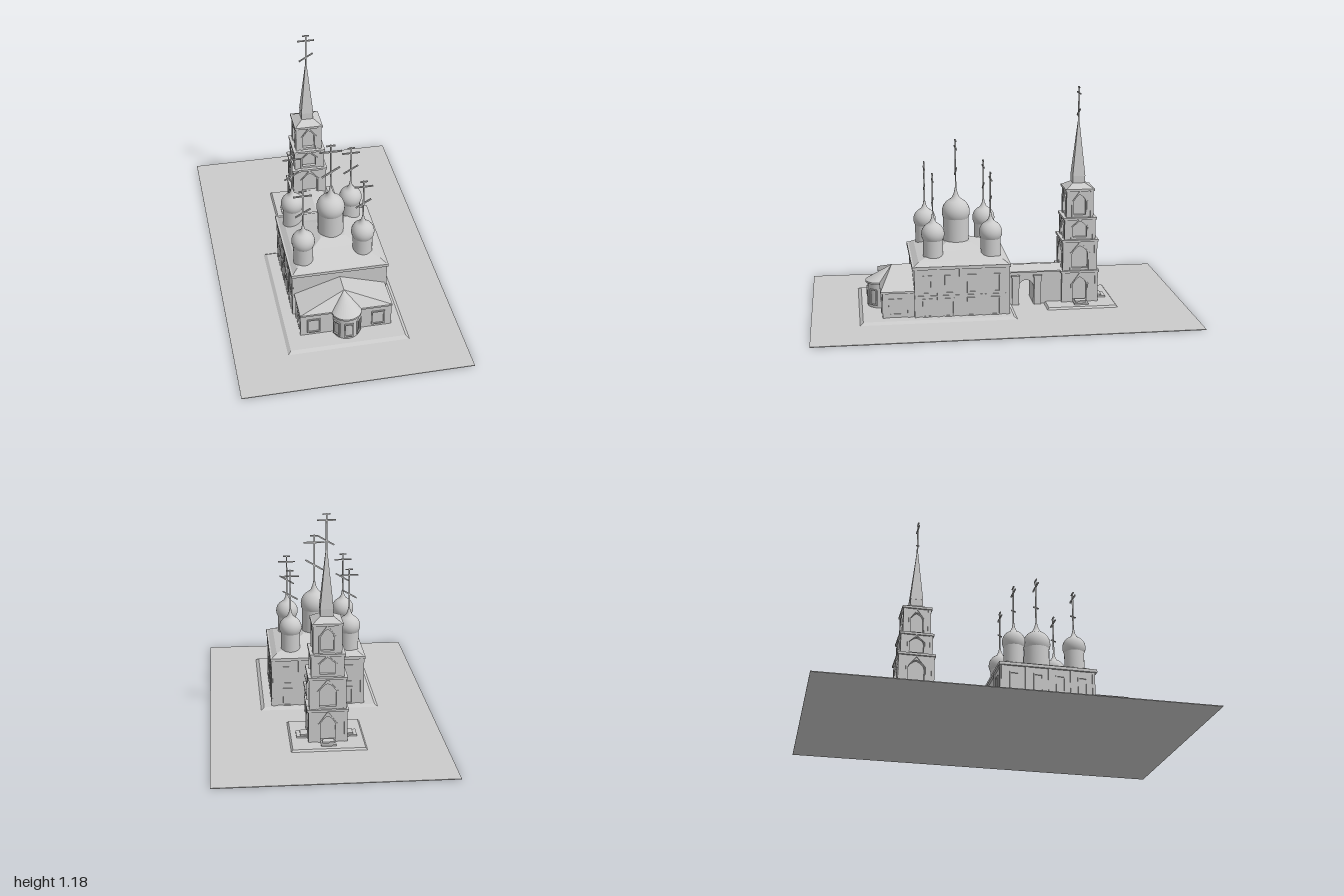
import * as THREE from 'three';

const mat = new THREE.MeshStandardMaterial({ color: 0xcccccc, flatShading: true, side: THREE.DoubleSide });
const smooth = new THREE.MeshStandardMaterial({ color: 0xcccccc, side: THREE.DoubleSide });

function add(parent, name, geo, x = 0, y = 0, z = 0, m = mat) {
  const mesh = new THREE.Mesh(geo, m);
  mesh.name = name;
  mesh.position.set(x, y, z);
  parent.add(mesh);
  return mesh;
}
function group(parent, name, x = 0, y = 0, z = 0) {
  const g = new THREE.Group();
  g.name = name;
  g.position.set(x, y, z);
  parent.add(g);
  return g;
}
// box given by its width, depth and lower / upper height
function block(parent, name, w, d, y0, y1, x = 0, z = 0) {
  return add(parent, name, new THREE.BoxGeometry(w, y1 - y0, d), x, (y0 + y1) / 2, z);
}
// box whose top has its own half sizes
function frustum(parent, name, hx0, hz0, hx1, hz1, y0, y1, x = 0, z = 0) {
  const geo = new THREE.BoxGeometry(2, 1, 2);
  const p = geo.attributes.position;
  for (let i = 0; i < p.count; i++) {
    const top = p.getY(i) > 0;
    p.setXYZ(i, p.getX(i) * (top ? hx1 : hx0), top ? y1 : y0, p.getZ(i) * (top ? hz1 : hz0));
  }
  geo.computeVertexNormals();
  return add(parent, name, geo, x, 0, z);
}
// group whose +z side is the wall plane at distance d, turned by angle a
function wallSide(parent, name, a, d) {
  const turn = group(parent, name);
  turn.rotation.y = a;
  return group(turn, name + 'Plane', 0, 0, d);
}
function rectPath(C, w, h) {
  const s = new C();
  s.moveTo(-w / 2, 0); s.lineTo(w / 2, 0); s.lineTo(w / 2, h); s.lineTo(-w / 2, h); s.closePath();
  return s;
}
// raised window frame with sill on a wall plane
function windowFrame(parent, x, y0, w, h) {
  const s = rectPath(THREE.Shape, w, h), t = 0.007;
  const hole = new THREE.Path();
  hole.moveTo(-w / 2 + t, t); hole.lineTo(w / 2 - t, t); hole.lineTo(w / 2 - t, h - t); hole.lineTo(-w / 2 + t, h - t); hole.closePath();
  s.holes.push(hole);
  add(parent, 'windowFrame', new THREE.ExtrudeGeometry(s, { depth: 0.007, bevelEnabled: false }), x, y0, -0.001);
}

// cross with a straight bar, a short top bar and a slanted bar; h is its height
function cross(parent, y, h) {
  const g = group(parent, 'cross', 0, y, 0), t = 0.007;
  block(g, 'post', t, t, 0, h);
  block(g, 'topBar', 0.18 * h, t, 0.965 * h, 0.99 * h);
  block(g, 'mainBar', 0.44 * h, t, 0.82 * h, 0.85 * h);
  const s = add(g, 'slantedBar', new THREE.BoxGeometry(0.42 * h, 0.03 * h, t), 0, 0.35 * h, 0);
  s.rotation.z = 0.53;
}

// drum, onion dome and cross
function cupola(parent, x, z, base, centre, drumR, r, tip, top) {
  const g = group(parent, 'cupola', x, 0, z);
  add(g, 'drum', new THREE.CylinderGeometry(drumR, drumR, centre - base, 24), 0, (base + centre) / 2, 0, smooth);
  const pts = [];
  for (let i = 0; i <= 12; i++) {
    const a = -1.0 + i * (1.0 + 1.1) / 12;
    pts.push(new THREE.Vector2(r * Math.cos(a), centre + r * Math.sin(a)));
  }
  pts.push(new THREE.Vector2(r * 0.27, centre + r * 1.06), new THREE.Vector2(r * 0.14, centre + r * 1.35), new THREE.Vector2(0.003, tip));
  add(g, 'onionDome', new THREE.LatheGeometry(pts, 28), 0, 0, 0, smooth);
  cross(g, tip - 0.01, top - tip + 0.01);
}

function buildHall(root) {
  const hall = group(root, 'hall', 0.007, 0, 0.217), H = 0.247;
  block(hall, 'walls', 2 * H, 2 * H, 0, 0.275);
  block(hall, 'eaves', 0.516, 0.516, 0.273, 0.289);
  // concave hipped roof as stacked steps: half size, height
  const steps = [[0.25, 0.288], [0.222, 0.307], [0.125, 0.337], [0.065, 0.364]];
  for (let i = 0; i < 3; i++) {
    const [a, y0] = steps[i], [b, y1] = steps[i + 1];
    frustum(hall, 'roof', a, a, b, b, y0, y1);
  }
  // windows and pilasters on both long sides
  for (const s of [-1, 1]) {
    const side = wallSide(hall, 'longWall', s * Math.PI / 2, H);
    for (const z of [0.18, 0.064, -0.053, -0.178]) {
      windowFrame(side, -s * z, 0.14, 0.05, 0.1);
      windowFrame(side, -s * z, 0.015, 0.05, 0.1);
    }
    for (const z of [0.239, 0.122, 0.006, -0.115, -0.239]) block(side, 'pilaster', 0.014, 0.012, 0, 0.275, -s * z, 0);
    block(side, 'stringCourse', 0.49, 0.008, 0.124, 0.131);
  }
  const back = wallSide(hall, 'backWall', Math.PI, H);
  for (const x of [-0.165, 0.165]) {
    windowFrame(back, x, 0.14, 0.05, 0.1);
    windowFrame(back, x, 0.015, 0.05, 0.1);
  }
  for (const x of [-0.239, -0.1, 0.1, 0.239]) block(back, 'pilaster', 0.014, 0.012, 0, 0.275, x, 0);

  for (const [x, z] of [[-0.17, 0.053], [0.15, 0.053], [-0.17, 0.378], [0.15, 0.357]])
    cupola(root, x, z, 0.3, 0.437, 0.052, 0.061, 0.55, 0.758);
  cupola(root, 0.006, 0.222, 0.34, 0.517, 0.068, 0.075, 0.655, 0.907);
}

function buildApse(root) {
  const g = group(root, 'altarWing', 0.007, 0, 0.63), W = 0.235, R = 0.07;
  block(g, 'wingWalls', 2 * W, 0.18, 0, 0.15, 0, -0.09);
  add(g, 'apseWall', new THREE.CylinderGeometry(R, R, 0.15, 24), 0, 0.075, 0, smooth);
  // eave outline in x, z with a round bay in front
  const E = W + 0.008, outline = [[-E, -0.17], [-E, 0.01]];
  for (let i = 0; i <= 16; i++) {
    const a = Math.PI * (1 - i / 16);
    outline.push([0.077 * Math.cos(a), 0.01 + 0.072 * Math.sin(a)]);
  }
  outline.push([E, 0.01], [E, -0.17]);
  const slab = new THREE.ExtrudeGeometry(new THREE.Shape(outline.map(p => new THREE.Vector2(...p))), { depth: 0.01, bevelEnabled: false });
  slab.rotateX(Math.PI / 2);
  add(g, 'eaves', slab, 0, 0.157, 0);
  // roof fan from the ridge end to the eaves
  const pos = [], y = 0.157, apex = [0, 0.237, -0.06], ridge = [0, 0.237, -0.17];
  for (let i = 0; i < outline.length - 1; i++) {
    const [a, b] = [outline[i], outline[i + 1]];
    pos.push(a[0], y, a[1], b[0], y, b[1], ...apex);
  }
  pos.push(...ridge, -E, y, -0.17, ...apex, E, y, -0.17, ...ridge, ...apex);
  const roof = new THREE.BufferGeometry();
  roof.setAttribute('position', new THREE.Float32BufferAttribute(pos, 3));
  roof.computeVertexNormals();
  add(g, 'roof', roof);
  // windows
  for (const x of [-0.17, 0.17]) windowFrame(g, x, 0.03, 0.07, 0.088);
  for (const a of [-0.95, 0, 0.95]) windowFrame(wallSide(g, 'apseWindow', a, R), 0, 0.03, 0.046, 0.088);
  for (const s of [-1, 1]) {
    const side = wallSide(g, 'wingSide', s * Math.PI / 2, W);
    windowFrame(side, s * 0.067, 0.03, 0.07, 0.088);
    block(side, 'pilaster', 0.014, 0.012, 0, 0.15, s * 0.007, 0);
    block(side, 'pilaster', 0.014, 0.012, 0, 0.15, s * 0.137, 0);
  }
}

// covered passage with a gateway through it
function buildGallery(root) {
  const g = group(root, 'gallery');
  const wall = new THREE.Shape();
  wall.moveTo(0.02, 0); wall.lineTo(0.11, 0); wall.lineTo(0.11, 0.1);
  wall.absarc(0.15, 0.1, 0.04, Math.PI, 0, true);
  wall.lineTo(0.19, 0); wall.lineTo(0.35, 0); wall.lineTo(0.35, 0.185); wall.lineTo(0.02, 0.185);
  wall.closePath();
  const geo = new THREE.ExtrudeGeometry(wall, { depth: 0.144, bevelEnabled: false, curveSegments: 14 });
  geo.rotateY(Math.PI / 2);
  add(g, 'gatewayWall', geo, -0.072, 0, 0);
  const gable = new THREE.Shape([[-0.08, 0.183], [0.08, 0.183], [0.08, 0.19], [0, 0.209], [-0.08, 0.19]].map(p => new THREE.Vector2(...p)));
  add(g, 'roof', new THREE.ExtrudeGeometry(gable, { depth: 0.32, bevelEnabled: false }), 0, 0, -0.35);
  for (const z of [-0.092, -0.212]) {
    block(g, 'pier', 0.17, 0.038, 0, 0.16, 0, z);
    block(g, 'pierCap', 0.182, 0.046, 0.158, 0.168, 0, z);
  }
}

// pointed opening outline
function pointed(C, w, h, rise) {
  const s = new C();
  s.moveTo(-w / 2, 0); s.lineTo(w / 2, 0); s.lineTo(w / 2, h - rise);
  s.quadraticCurveTo(w / 2, h - rise * 0.4, 0, h);
  s.quadraticCurveTo(-w / 2, h - rise * 0.4, -w / 2, h - rise); s.closePath();
  return s;
}

function buildTower(root) {
  const t = group(root, 'bellTower', 0, 0, -0.44);
  frustum(t, 'plinth', 0.195, 0.195, 0.183, 0.183, 0, 0.014);
  // half size, bottom, top, opening width
  const tiers = [[0.095, 0.012, 0.19, 0.075], [0.09, 0.19, 0.36, 0.085], [0.08, 0.36, 0.48, 0.075], [0.069, 0.48, 0.635, 0.065]];
  for (const [h, y0, y1, w] of tiers) {
    const tier = group(t, 'tier', 0, y0, 0), H = y1 - y0, d = 0.018;
    block(tier, 'core', 2 * (h - d), 2 * (h - d), 0, H);
    for (let i = 0; i < 4; i++) {
      const side = wallSide(tier, 'tierSide', i * Math.PI / 2, h);
      // wall slab with a pointed niche
      const wall = rectPath(THREE.Shape, 2 * h, H);
      const hole = pointed(THREE.Path, w, H * 0.72, H * 0.28);
      hole.curves.forEach(c => ['v0', 'v1', 'v2'].forEach(k => { if (c[k] && !c[k].lifted) { c[k].y += 0.012; c[k].lifted = true; } }));
      wall.holes.push(hole);
      add(side, 'nicheWall', new THREE.ExtrudeGeometry(wall, { depth: d, bevelEnabled: false, curveSegments: 6 }), 0, 0, -d);
      // steep gable moulding over the niche
      for (const s of [-1, 1]) {
        const dx = w / 2 + 0.006, dy = H * 0.34;
        const bar = add(side, 'gableBar', new THREE.BoxGeometry(Math.hypot(dx, dy), 0.006, 0.012), s * dx / 2, H * 0.74, 0);
        bar.rotation.z = -s * Math.atan2(dy, dx);
      }
      block(side, 'cornerPost', 0.016, 0.016, 0, H, h - 0.004, -0.004);
      block(side, 'sideShaft', 0.008, 0.012, 0, H * 0.58, w / 2 + 0.008, 0);
      block(side, 'sideShaft', 0.008, 0.012, 0, H * 0.58, -w / 2 - 0.008, 0);
    }
    block(tier, 'cornice', 2 * h + 0.02, 2 * h + 0.02, H - 0.012, H);
  }
  // entrance steps on the three free sides
  for (const a of [-1, 1, 2]) {
    const side = wallSide(t, 'steps', a * Math.PI / 2, 0.095);
    block(side, 'lowerStep', 0.076, 0.06, 0.01, 0.022, 0, 0.03);
    block(side, 'upperStep', 0.06, 0.04, 0.02, 0.03, 0, 0.02);
  }
  frustum(t, 'topRoof', 0.075, 0.075, 0.034, 0.034, 0.634, 0.66);
  block(t, 'spireBase', 0.066, 0.066, 0.655, 0.7);
  frustum(t, 'spire', 0.034, 0.034, 0.003, 0.003, 0.698, 1.0);
  cross(t, 0.965, 0.212);
}

export function createModel() {
  const root = new THREE.Group();
  root.name = 'churchWithBellTower';
  block(root, 'ground', 1.19, 2, 0, 0.004);
  frustum(root, 'churchPlinth', 0.32, 0.41, 0.302, 0.392, 0.003, 0.016, 0, 0.34);
  buildHall(root);
  buildApse(root);
  buildGallery(root);
  buildTower(root);
  return root;
}
